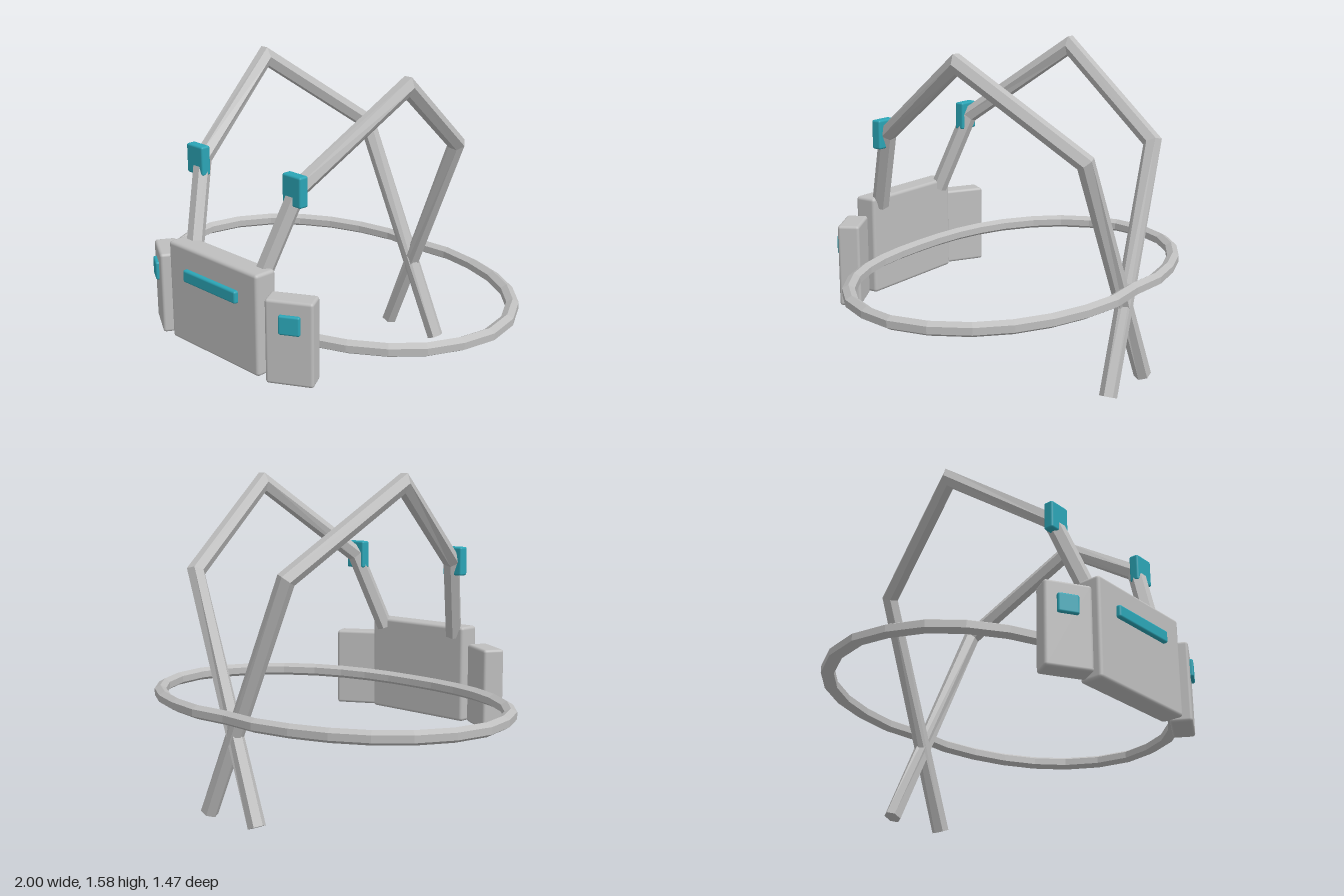
import * as THREE from 'three';
import { RoundedBoxGeometry } from 'three/addons/geometries/RoundedBoxGeometry.js';

// Six-sided bar swept along a polyline, mitred at the corners.
function sweep(points, radius, up, closed = false, sides = 6) {
  const n = points.length;
  const at = (i) => points[(i + n) % n];
  const dir = (a, b) => at(b).clone().sub(at(a)).normalize();
  const rings = points.map((p, i) => {
    const dOut = closed || i < n - 1 ? dir(i, i + 1) : dir(i - 1, i);
    const dIn = closed || i > 0 ? dir(i - 1, i) : dOut;
    const tangent = dIn.clone().add(dOut).normalize();
    const side = new THREE.Vector3().crossVectors(up, dIn).normalize();
    const top = new THREE.Vector3().crossVectors(dIn, side);
    return Array.from({ length: sides }, (_, k) => {
      const a = ((k + 0.5) / sides) * Math.PI * 2;
      const o = side.clone().multiplyScalar(Math.cos(a) * radius).addScaledVector(top, Math.sin(a) * radius);
      // slide the corner along the bar onto the mitre plane
      o.addScaledVector(dIn, -o.dot(tangent) / dIn.dot(tangent));
      return o.add(p);
    });
  });
  const pos = [];
  const tri = (...v) => v.forEach((q) => pos.push(q.x, q.y, q.z));
  for (let i = 0; i < (closed ? n : n - 1); i++) {
    const a = rings[i], b = rings[(i + 1) % n];
    for (let k = 0; k < sides; k++) {
      const m = (k + 1) % sides;
      tri(a[k], a[m], b[m]);
      tri(a[k], b[m], b[k]);
    }
  }
  if (!closed) {
    const a = rings[0], b = rings[n - 1];
    for (let k = 1; k < sides - 1; k++) {
      tri(a[0], a[k + 1], a[k]);
      tri(b[0], b[k], b[k + 1]);
    }
  }
  const g = new THREE.BufferGeometry();
  g.setAttribute('position', new THREE.Float32BufferAttribute(pos, 3));
  g.computeVertexNormals();
  return g;
}

export function createModel() {
  const webbing = new THREE.MeshStandardMaterial({ color: 0xbebebe });
  webbing.name = 'light grey';
  const accent = new THREE.MeshStandardMaterial({ color: 0x2ba5b6 });
  accent.name = 'teal';

  const model = new THREE.Group();
  model.name = 'harness';
  const add = (parent, name, geometry, material, x = 0, y = 0, z = 0) => {
    const mesh = new THREE.Mesh(geometry, material);
    mesh.name = name;
    mesh.position.set(x, y, z);
    parent.add(mesh);
    return mesh;
  };
  const block = (w, h, d, r) => new RoundedBoxGeometry(w, h, d, 2, r);

  // Waist belt: half outline from back to front, mirrored to a closed loop
  const half = [
    [0, -0.695], [0.2, -0.708], [0.39, -0.675], [0.565, -0.615], [0.72, -0.525],
    [0.845, -0.405], [0.935, -0.245], [0.97, -0.07], [0.94, 0.09], [0.87, 0.24],
    [0.76, 0.36], [0.61, 0.46], [0.46, 0.52], [0.31, 0.555], [0.15, 0.572], [0, 0.575],
  ];
  const loop = [...half, ...half.slice(1, -1).reverse().map(([x, z]) => [-x, z])];
  const beltPath = loop.map(([x, z]) => new THREE.Vector3(x, 0.505, z));
  add(model, 'waistBelt', sweep(beltPath, 0.033, new THREE.Vector3(0, 1, 0), true), webbing);

  // Front pack with its bar
  add(model, 'frontPack', block(0.61, 0.485, 0.115, 0.016), webbing, 0, 0.573, 0.653);
  add(model, 'frontBar', block(0.365, 0.06, 0.035, 0.01), accent, 0, 0.68, 0.714);

  for (const s of [1, -1]) {
    const label = s > 0 ? 'left' : 'right';

    // Shoulder strap: over the shoulder, then crossing to the other side at the back
    const path = [
      [0.235, 0.77, 0.612], [0.325, 1.16, 0.475], [0.468, 1.545, -0.052],
      [0.305, 1.14, -0.617], [-0.165, 0.03, -0.673],
    ].map(([x, y, z]) => new THREE.Vector3(s * x, y, z));
    add(model, label + 'ShoulderStrap', sweep(path, 0.042, new THREE.Vector3(1, 0, 0)), webbing);

    // Strap clip
    add(model, label + 'StrapClip', block(0.115, 0.14, 0.05, 0.01), accent, s * 0.328, 1.16, 0.498);

    // Angled side pouch with its button
    const pouch = new THREE.Group();
    pouch.name = label + 'Pouch';
    pouch.position.set(s * 0.433, 0.53, 0.62);
    pouch.rotation.y = s * Math.PI / 6;
    add(pouch, label + 'PouchBody', block(0.22, 0.4, 0.105, 0.014), webbing);
    add(pouch, label + 'PouchButton', block(0.098, 0.09, 0.034, 0.009), accent, s * 0.004, 0.092, 0.052);
    model.add(pouch);
  }
  return model;
}
